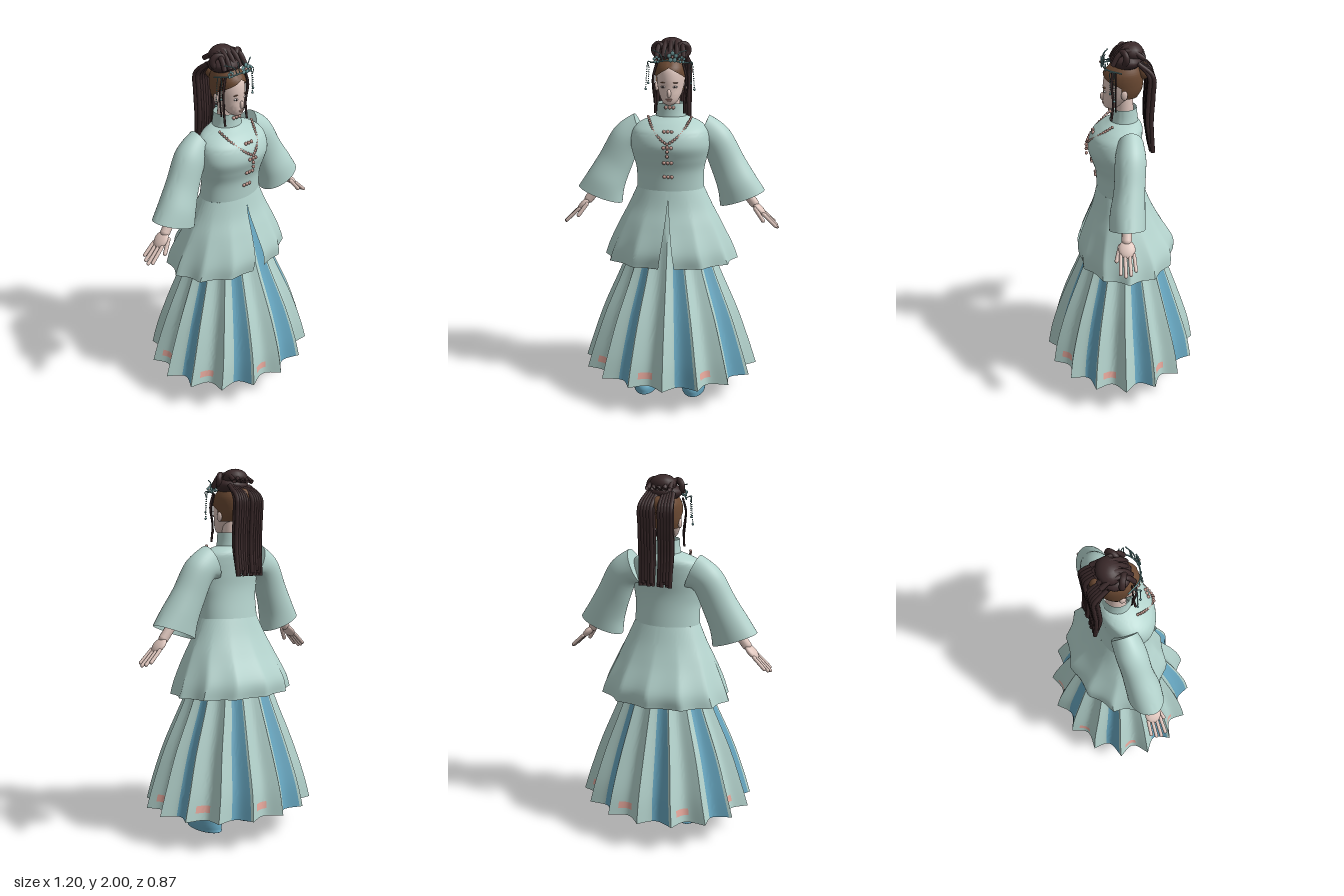
import * as THREE from 'three';
import { toCreasedNormals } from 'three/addons/utils/BufferGeometryUtils.js';

const mat = (name, color) => Object.assign(
  new THREE.MeshStandardMaterial({ color, side: THREE.DoubleSide }), { name });
const M = {
  cloth: mat('pale teal cloth', 0xb4d3cd), blue: mat('blue cloth', 0x68a8c2),
  pink: mat('pink embroidery', 0xe9aa9e), skin: mat('skin', 0xdfc6bd),
  hair: mat('dark hair', 0x3a292a), scalp: mat('brown hair', 0x6c4a33),
  pearl: mat('rose pearl', 0xbf958b), jewel: mat('teal metal', 0x6f9c9e),
  eye: mat('eye white', 0xd5cfcc),
};
const V = (x, y, z) => new THREE.Vector3(x, y, z);
const TAU = Math.PI * 2;

// Smooth interpolation through a short list of cross-section rows
function at(rows, v) {
  const n = rows.length - 1, i = Math.min(n - 1, Math.floor(v * n)), t = v * n - i;
  const g = k => rows[Math.max(0, Math.min(n, k))];
  return rows[i].map((b, c) => {
    const a = g(i - 1)[c], d = g(i + 1)[c], e = g(i + 2)[c];
    return b + 0.5 * t * (d - a + t * (2 * a - 5 * b + 4 * d - e + t * (3 * (b - d) + e - a)));
  });
}

// Surface from fn(u, v); pick(u, v) chooses a material index per cell
function grid(fn, nu, nv, pick = () => 0, crease = 0.7) {
  const pos = [], buckets = [];
  for (let j = 0; j <= nv; j++)
    for (let i = 0; i <= nu; i++) pos.push(...fn(i / nu, j / nv));
  for (let j = 0; j < nv; j++)
    for (let i = 0; i < nu; i++) {
      const a = j * (nu + 1) + i, b = a + nu + 1;
      (buckets[pick((i + 0.5) / nu, (j + 0.5) / nv)] ??= []).push(a, a + 1, b + 1, a, b + 1, b);
    }
  const geo = new THREE.BufferGeometry();
  geo.setAttribute('position', new THREE.Float32BufferAttribute(pos, 3));
  const index = [];
  buckets.forEach((list, m) => {
    geo.addGroup(index.length, list.length, m);
    for (const k of list) index.push(k);
  });
  geo.setIndex(index);
  return toCreasedNormals(geo, crease);
}

// Rows are [y, half width, front z, back z, pleat depth]; gap(y) opens the front
const ring = (rows, pleats = 1, gap = () => 0) => (u, v) => {
  const [y, rx, zf, zb, d = 0] = at(rows, v), g = gap(y);
  const th = g + u * (TAU - 2 * g);
  const f = 1 - d * Math.abs(Math.sin(th * pleats / 2));
  return [rx * f * Math.sin(th), y, (zf + zb) / 2 + (zf - zb) / 2 * f * Math.cos(th)];
};

function add(parent, name, geo, material, p = [0, 0, 0], s = [1, 1, 1]) {
  const m = new THREE.Mesh(geo, material);
  m.name = name;
  m.position.set(...p);
  m.scale.set(...s);
  parent.add(m);
  return m;
}
const ball = new THREE.SphereGeometry(1, 16, 12), bead = new THREE.SphereGeometry(1, 10, 8);
const blob = (g, name, m, p, s) => add(g, name, ball, m, p, s);
const pearl = (g, name, m, p, r) => add(g, name, bead, m, p, [r, r, r]);
const tube = (g, name, m, pts, r, n = 20) => add(g, name, new THREE.TubeGeometry(
  new THREE.CatmullRomCurve3(pts.map(p => V(...p))), n, r, 8), m);
function limb(g, name, m, a, b, r) {
  const A = V(...a), B = V(...b), d = B.clone().sub(A);
  const o = add(g, name, new THREE.CapsuleGeometry(r, d.length(), 5, 12), m, A.lerp(B, 0.5).toArray());
  o.quaternion.setFromUnitVectors(V(0, 1, 0), d.normalize());
  return o;
}

const BODICE = [[1.2, .185, .13, -.125], [1.3, .185, .135, -.11], [1.37, .2, .155, -.105],
  [1.44, .213, .175, -.11], [1.51, .205, .155, -.115], [1.55, .175, .115, -.115],
  [1.577, .12, .075, -.1], [1.59, .08, .055, -.09]];
function bodiceZ(y) {
  let v = 0;
  while (v < 1 && at(BODICE, v)[0] < y) v += 0.005;
  return at(BODICE, Math.min(v, 1))[2];
}

function dress(g) {
  // Skirt: 16 sharp pleats, every second one with a blue panel
  const rows = [[.16, .497, .433, -.433, .14], [.3, .452, .405, -.405, .13], [.5, .38, .34, -.34, .12],
    [.79, .255, .22, -.235, .09], [1, .2, .15, -.16, .04], [1.18, .15, .1, -.1, 0]];
  const pick = (u, v) => {
    const k = Math.floor(u * 16), f = u * 16 - k, y = at(rows, v)[0];
    if (k % 2 === 0) return f > .38 && f < .94 ? 1 : 0;
    return y > .208 && y < .242 && f > .2 && f < .6 ? 2 : 0;
  };
  add(g, 'pleatedSkirt', grid(ring(rows, 16), 256, 40, pick), [M.cloth, M.blue, M.pink]);
  // Jacket skirt, split at the front
  const peplum = [[.79, .38, .252, -.303, .08], [.87, .348, .25, -.296, .06], [1, .285, .197, -.218, .03],
    [1.1, .232, .155, -.165, .01], [1.2, .185, .13, -.125, 0]];
  add(g, 'jacketSkirt', grid(ring(peplum, 12, y => Math.max(0, .12 * (1.16 - y) / .37)), 144, 24), M.cloth);
  add(g, 'bodice', grid(ring(BODICE), 64, 42, undefined, 1.2), M.cloth);
  add(g, 'collar', grid(ring([[1.565, .088, .06, -.095], [1.61, .078, .054, -.09], [1.66, .074, .052, -.085]]), 40, 6), M.cloth);
  // Bead fastenings down the front
  for (const y of [1.64, 1.525, 1.445, 1.36, 1.28])
    for (const x of [-.02, 0, .02])
      pearl(g, 'buttonBead', M.pearl, [x, y, (y > 1.6 ? .053 : bodiceZ(y)) + .002], .0095);
  // Necklace and pendant
  for (const s of [-1, 1]) {
    const c = new THREE.QuadraticBezierCurve3(V(.115 * s, 1.59, .05), V(.075 * s, 1.5, .16), V(0, 1.465, .18));
    c.getSpacedPoints(14).forEach(p => pearl(g, 'necklaceBead', M.pearl, p.toArray(), .0075));
  }
  for (const y of [1.45, 1.425, 1.4]) pearl(g, 'pendantBead', M.pearl, [0, y, .182], .009);
}

function arm() {
  const g = new THREE.Group();
  g.name = 'arm';
  // Sleeve rows: centre x, centre y, section angle, half width, half depth, centre z
  const rows = [[.165, 1.5, 1.15, .1, .07, -.04], [.245, 1.455, .62, .09, .08, -.035], [.31, 1.33, .5, .096, .08, -.025],
    [.362, 1.225, .42, .11, .09, -.012], [.395, 1.143, .36, .13, .092, -.008]];
  const sleeve = (u, v) => {
    const [x, y, a, h, hz, z] = at(rows, v), c = h * Math.cos(u * TAU);
    return [x + c * Math.cos(a), y + c * Math.sin(a), z + hz * Math.sin(u * TAU)];
  };
  add(g, 'sleeve', grid(sleeve, 40, 24), M.cloth);
  const cap = (u, v) => sleeve(u, 0).map((p, i) => p * v + [.165, 1.5, -.04][i] * (1 - v));
  add(g, 'shoulderCap', grid(cap, 40, 1), M.cloth);
  // Forearm and hand
  limb(g, 'forearm', M.skin, [.37, 1.23, -.01], [.46, 1.115, 0], .026);
  blob(g, 'palm', M.skin, [.49, 1.083, 0], [.05, .019, .043]).rotation.z = -.78;
  [-.034, -.012, .011, .033].forEach((z, i) => {
    const l = [.05, .064, .07, .06][i];
    limb(g, 'finger', M.skin, [.512, 1.062, z], [.522 + l, 1.056 - l, z * 1.15], .0095);
  });
  limb(g, 'thumb', M.skin, [.468, 1.09, .034], [.512, 1.03, .054], .011);
  return g;
}

function leg() {
  const g = new THREE.Group();
  g.name = 'leg';
  limb(g, 'shin', M.skin, [.14, .14, -.065], [.11, .85, -.01], .036);
  blob(g, 'heel', M.skin, [.14, .125, -.075], [.034, .034, .042]);
  const shoe = [[0, .001, .05, .048], [0, .058, .16, -.068], [.015, .068, .175, -.075], [.05, .07, .172, -.075],
    [.085, .062, .135, -.07], [.108, .045, .07, -.06], [.117, .001, 0, -.002]];
  add(g, 'shoe', grid(ring(shoe), 40, 30), M.blue, [.14, 0, 0]);
  return g;
}

function head(g) {
  const skull = [[1.65, .004, .062, .05], [1.665, .034, .086, .005], [1.7, .055, .092, -.04], [1.74, .068, .09, -.08],
    [1.79, .075, .09, -.1], [1.84, .073, .078, -.1], [1.88, .055, .045, -.08], [1.9, .002, -.018, -.022]];
  add(g, 'face', grid(ring(skull), 40, 35), M.skin);
  add(g, 'neck', new THREE.CylinderGeometry(.045, .052, .15, 24), M.skin, [0, 1.645, -.02]);
  blob(g, 'nose', M.skin, [0, 1.718, .092], [.011, .022, .014]);
  blob(g, 'upperLip', M.pearl, [0, 1.688, .09], [.017, .004, .006]);
  blob(g, 'lowerLip', M.pearl, [0, 1.681, .088], [.013, .005, .006]);
  // Brown hair drawn back from the face
  const cap = [[1.72, .07, .06, -.09], [1.76, .08, .085, -.112], [1.82, .084, .096, -.118],
    [1.86, .076, .08, -.108], [1.9, .05, .035, -.075], [1.915, .002, -.018, -.022]];
  add(g, 'hairCap', grid(ring(cap, 1, y => Math.min(1.45, Math.max(0, (1.85 - y) * 22))), 48, 40), M.scalp);
  // Topknot with looped side rolls
  blob(g, 'topknotBase', M.hair, [0, 1.908, -.03], [.094, .045, .083]);
  blob(g, 'topknot', M.hair, [0, 1.95, -.055], [.072, .05, .062]);
  for (let i = -2; i <= 2; i++)
    tube(g, 'topknotStrand', M.hair, [[i * .036, 1.9, .045], [i * .032, 1.955, .01], [i * .026, 1.987 - i * i * .005, -.05], [i * .032, 1.93, -.118]], .013);
  blob(g, 'ponytailTie', M.scalp, [0, 1.85, -.115], [.05, .045, .035]);
  for (const s of [-1, 1]) {
    blob(g, 'eye', M.eye, [.031 * s, 1.752, .082], [.014, .006, .006]);
    blob(g, 'pupil', M.hair, [.031 * s, 1.752, .086], [.005, .005, .004]);
    blob(g, 'eyebrow', M.scalp, [.032 * s, 1.774, .083], [.017, .0025, .005]);
    blob(g, 'ear', M.skin, [.079 * s, 1.745, -.015], [.01, .026, .017]);
    const roll = add(g, 'hairRoll', new THREE.TorusGeometry(.03, .016, 10, 24), M.hair, [.066 * s, 1.937, -.01]);
    roll.rotation.y = .5 * s;
    tube(g, 'sideLock', M.hair, [[.07 * s, 1.87, .045], [.087 * s, 1.8, .05], [.078 * s, 1.7, .042], [.078 * s, 1.61, .052]], .006);
    tube(g, 'sideWisp', M.hair, [[.075 * s, 1.87, .03], [.094 * s, 1.79, .03], [.084 * s, 1.66, .03]], .004);
    // Long two-part ponytail
    for (let i = 0; i < 5; i++)
      for (const k of [0, 1]) {
        const x = s * (.018 + i * .0165 + k * .004);
        tube(g, 'ponytailStrand', M.hair, [[x * .8, 1.91, -.085], [x, 1.845, -.14 - k * .02], [x, 1.75, -.14 - k * .022],
          [x, 1.6, -.135 - k * .02], [x * .95, 1.43 + ((i * 2 + k) % 3) * .014, -.158 - k * .008]], .0115, 24);
      }
  }
}

function flower(g, x, y, z, r) {
  for (let i = 0; i < 5; i++) {
    const a = i * TAU / 5 + Math.PI / 2;
    blob(g, 'petal', M.jewel, [x + r * Math.cos(a), y + r * Math.sin(a), z], [r * .6, r * .6, .004]);
  }
  pearl(g, 'flowerCentre', M.pearl, [x, y, z + .004], r * .35);
}

function headdress(g) {
  tube(g, 'tiaraBand', M.jewel, [[-.108, 1.87, 0], [-.066, 1.88, .072], [0, 1.89, .094], [.066, 1.88, .072], [.108, 1.87, 0]], .004, 32);
  flower(g, .02, 1.908, .098, .019);
  for (const s of [-1, 1]) {
    flower(g, .066 * s, 1.892, .08, .013);
    tube(g, 'tiaraSpray', M.jewel, [[.03 * s, 1.885, .09], [.05 * s, 1.925, .085], [.09 * s, 1.94, .06]], .003, 12);
    tube(g, 'tiaraSpike', M.jewel, [[.015 * s, 1.89, .09], [.02 * s, 1.92, .09], [.016 * s, 1.945, .078]], .0025, 8);
    // Hanging bead tassels
    for (const [x, z, n] of [[.122, .04, 11], [.108, .06, 8]]) {
      tube(g, 'tasselHook', M.jewel, [[.095 * s, 1.872, .03], [.115 * s, 1.88, z], [x * s, 1.85, z]], .0025, 10);
      for (let i = 0; i < n; i++)
        pearl(g, 'tasselBead', M.jewel, [x * s + s * i * .0008, 1.85 - i * .0115, z], i === n - 1 ? .0065 : .0035);
    }
  }
}

export function createModel() {
  const root = new THREE.Group();
  root.name = 'lady';
  const part = (name, build) => {
    const g = new THREE.Group();
    g.name = name;
    build(g);
    root.add(g);
  };
  part('dress', dress);
  part('head', head);
  part('headdress', headdress);
  for (const [side, s] of [['left', 1], ['right', -1]])
    part(side + 'Limbs', g => { g.add(arm(), leg()); g.scale.x = s; });
  return root;
}
